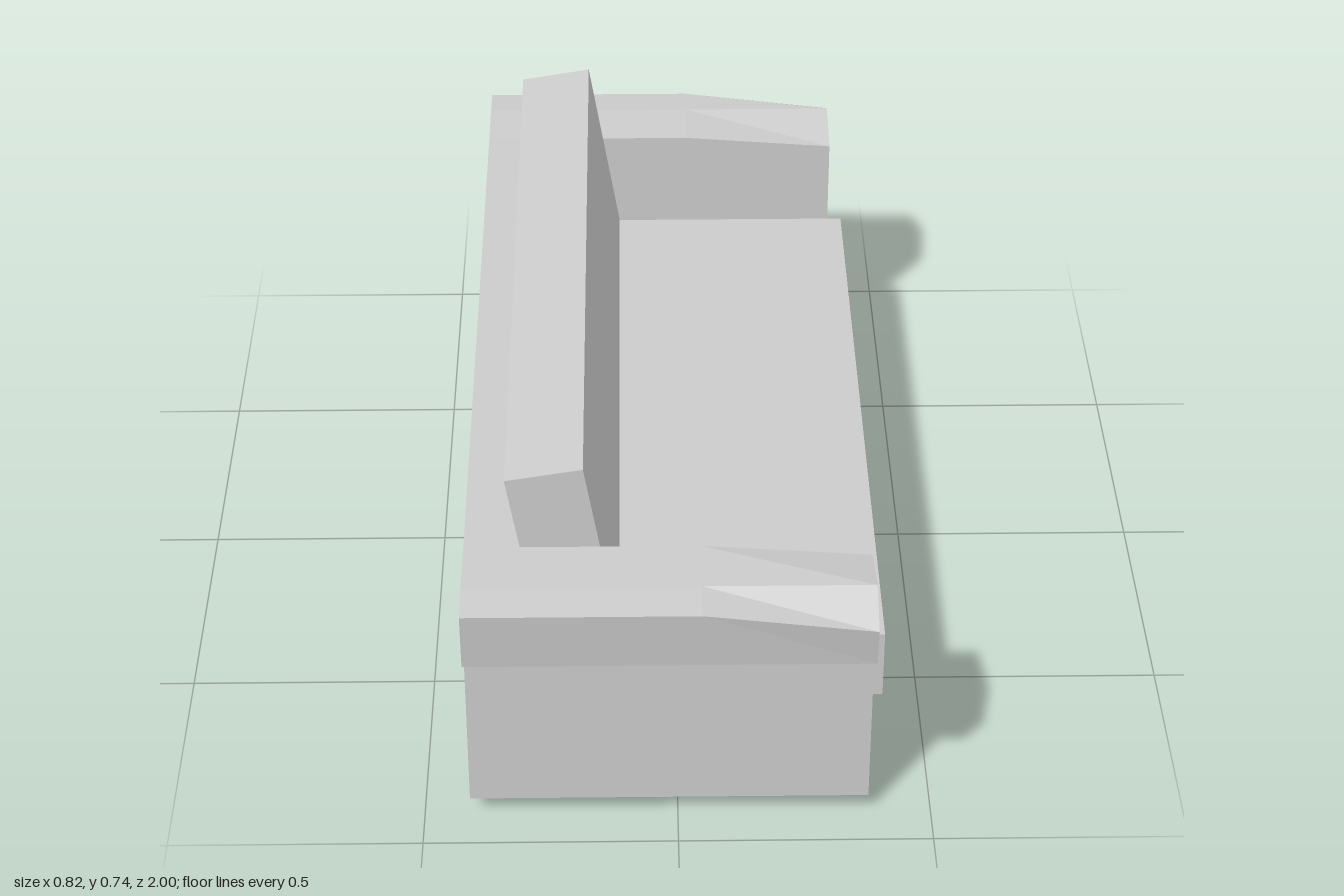
import * as THREE from 'three';

const material = new THREE.MeshStandardMaterial({ color: 0xcccccc, flatShading: true });

function addMesh(group, name, geometry, x = 0, y = 0, z = 0) {
  const mesh = new THREE.Mesh(geometry, material);
  mesh.name = name;
  mesh.position.set(x, y, z);
  group.add(mesh);
  return mesh;
}

// Box given by its x and y limits, centred on z = 0
function addBlock(group, name, x0, x1, y0, y1, depth) {
  return addMesh(group, name, new THREE.BoxGeometry(x1 - x0, y1 - y0, depth), (x0 + x1) / 2, (y0 + y1) / 2);
}

// Arm outline in z and y; the outer and inner top edges vary along the arm
function armSection(side, outerTop, innerTop) {
  const loop = [
    [0.785, 0.04], [0.915, 0.04], [0.915, 0.398], [0.987, 0.43],
    [1, outerTop], [0.915, 0.562], [0.785, innerTop],
  ].map(([z, y]) => [z * side, y]);
  return side > 0 ? loop.reverse() : loop; // counter-clockwise from +x
}

// Loft of the arm from back to front, closed at both ends
function armGeometry(side) {
  const sections = [
    { x: -0.41, loop: armSection(side, 0.557, 0.56) },
    { x: 0.045, loop: armSection(side, 0.557, 0.56) },
    { x: 0.376, loop: armSection(side, 0.516, 0.535) },
  ];
  const positions = [];
  const put = (s, i) => positions.push(s.x, s.loop[i][1], s.loop[i][0]);
  const n = sections[0].loop.length;
  for (let k = 0; k < sections.length - 1; k++) {
    const a = sections[k], b = sections[k + 1];
    for (let i = 0; i < n; i++) {
      const j = (i + 1) % n;
      put(a, i); put(a, j); put(b, j);
      put(a, i); put(b, j); put(b, i);
    }
  }
  const back = sections[0], front = sections[sections.length - 1];
  for (const s of [back, front]) {
    const contour = s.loop.map(([z, y]) => new THREE.Vector2(-z, y));
    for (const [a, b, c] of THREE.ShapeUtils.triangulateShape(contour, [])) {
      for (const i of s === front ? [a, b, c] : [a, c, b]) put(s, i);
    }
  }
  const geometry = new THREE.BufferGeometry();
  geometry.setAttribute('position', new THREE.Float32BufferAttribute(positions, 3));
  geometry.computeVertexNormals();
  return geometry;
}

export function createModel() {
  const sofa = new THREE.Group();
  sofa.name = 'sofa';

  // Frame between the arms
  addBlock(sofa, 'base', -0.41, 0.376, 0.04, 0.25, 1.57);
  addBlock(sofa, 'backrest', -0.41, -0.25, 0.25, 0.56, 1.57);

  // Cushions
  addBlock(sofa, 'seatCushion', -0.26, 0.407, 0.19, 0.34, 1.57);
  const backCushion = addMesh(sofa, 'backCushion', new THREE.BoxGeometry(0.152, 0.4, 1.57), -0.22, 0.531);
  backCushion.rotation.z = 0.166;

  // Arms and legs on both sides
  for (const side of [1, -1]) {
    const label = side > 0 ? 'left' : 'right';
    addMesh(sofa, label + 'Arm', armGeometry(side));
    for (const [end, x] of [['Front', 0.336], ['Back', -0.278]]) {
      addMesh(sofa, label + end + 'Leg', new THREE.CylinderGeometry(0.041, 0.041, 0.04, 8), x, 0.02, side * 0.797);
    }
  }
  return sofa;
}
